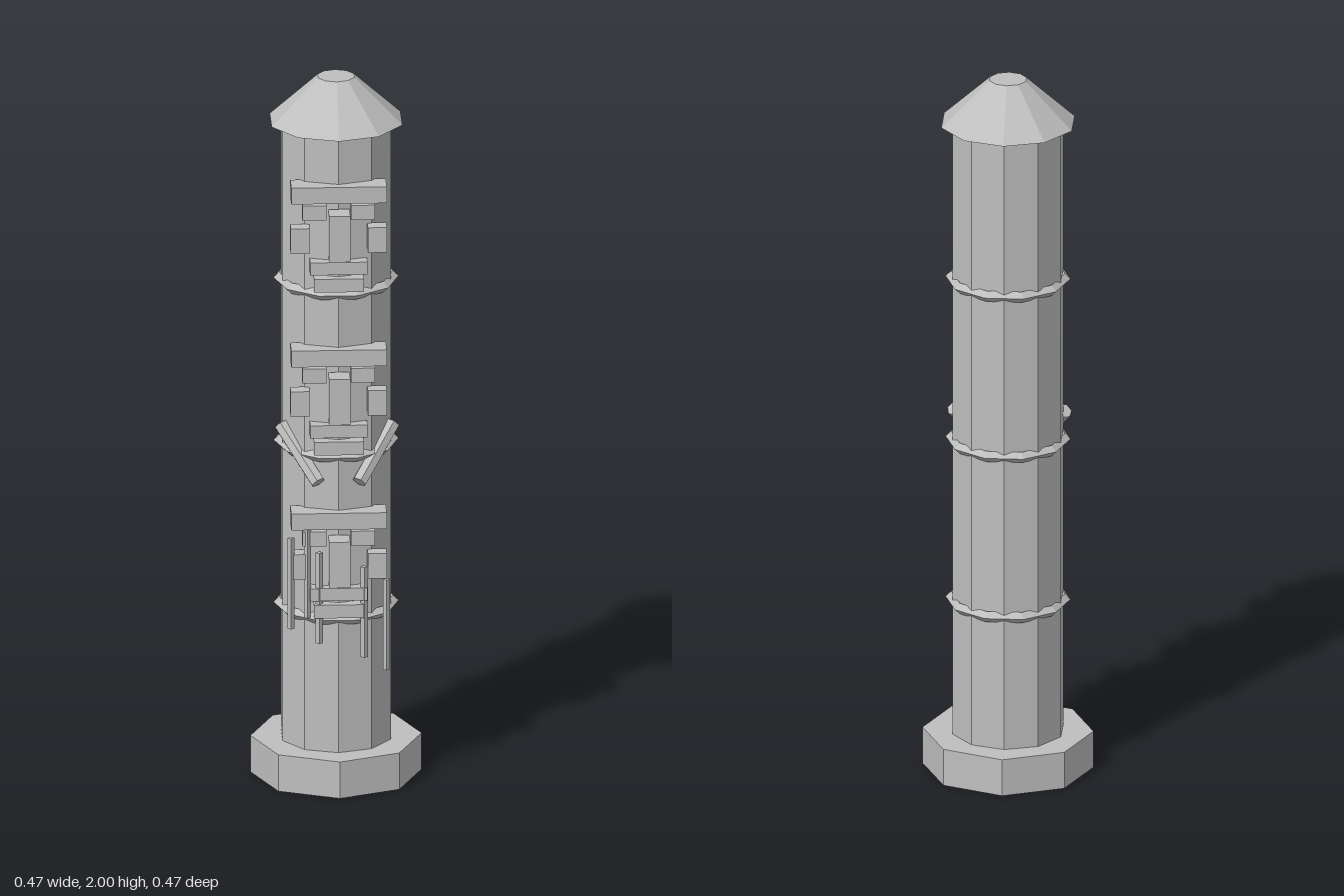
import * as THREE from 'three';

const stone = new THREE.MeshStandardMaterial({ color: 0xbfbfbf });
stone.name = 'stoneGrey';

// Faceted mesh: every face keeps its own flat normal
function part(name, geometry, x = 0, y = 0, z = 0) {
  const flat = geometry.index ? geometry.toNonIndexed() : geometry;
  flat.computeVertexNormals();
  const mesh = new THREE.Mesh(flat, stone);
  mesh.name = name;
  mesh.position.set(x, y, z);
  return mesh;
}

const box = (name, w, h, d, x, y, z) => part(name, new THREE.BoxGeometry(w, h, d), x, y, z);

// One carved face, positioned relative to the centre of its brow
function carvedFace(y) {
  const face = new THREE.Group();
  face.name = 'carvedFace';
  face.position.y = y;
  face.add(
    box('brow', 0.26, 0.047, 0.07, 0, 0, 0.145),
    box('nose', 0.058, 0.132, 0.06, 0, -0.112, 0.19),
    box('upperLip', 0.156, 0.036, 0.044, 0, -0.214, 0.148),
    box('lowerLip', 0.136, 0.038, 0.044, 0, -0.261, 0.153),
  );
  for (const side of [-1, 1]) {
    face.add(
      box('eye', 0.066, 0.042, 0.04, side * 0.066, -0.055, 0.145),
      box('cheek', 0.052, 0.072, 0.042, side * 0.105, -0.135, 0.144),
    );
  }
  return face;
}

export function createModel() {
  const model = new THREE.Group();
  model.name = 'carvedColumn';

  // Plinth, shaft and cap
  model.add(
    part('base', new THREE.CylinderGeometry(0.233, 0.233, 0.105, 8), 0, 0.0525, 0),
    part('shaft', new THREE.CylinderGeometry(0.155, 0.155, 1.78, 10), 0, 0.99, 0),
    part('cap', new THREE.CylinderGeometry(0.052, 0.187, 0.125, 10), 0, 1.9375, 0),
  );

  // Three tiers: a face above a ring
  for (let i = 0; i < 3; i++) {
    model.add(carvedFace(0.779 + i * 0.469));
    const ring = new THREE.TorusGeometry(0.155, 0.0155, 4, 10).rotateX(Math.PI / 2);
    model.add(part('ring', ring, 0, 0.488 + i * 0.467, 0));
  }

  // Slanting arms on the middle tier
  const up = new THREE.Vector3(0, 1, 0);
  for (const side of [-1, 1]) {
    const arm = part('arm', new THREE.CylinderGeometry(0.021, 0.021, 0.195, 6), side * 0.104, 0.951, 0.106);
    arm.quaternion.setFromUnitVectors(up, new THREE.Vector3(side * 0.49, 0.675, -0.55).normalize());
    model.add(arm);
  }

  // Hanging rods: x and centre height
  for (const [x, y] of [[-0.13, 0.597], [-0.085, 0.628], [-0.053, 0.554], [0.069, 0.512], [0.13, 0.475]]) {
    model.add(part('hangingRod', new THREE.CylinderGeometry(0.01, 0.01, 0.26, 4), x, y, 0.161));
  }
  return model;
}
